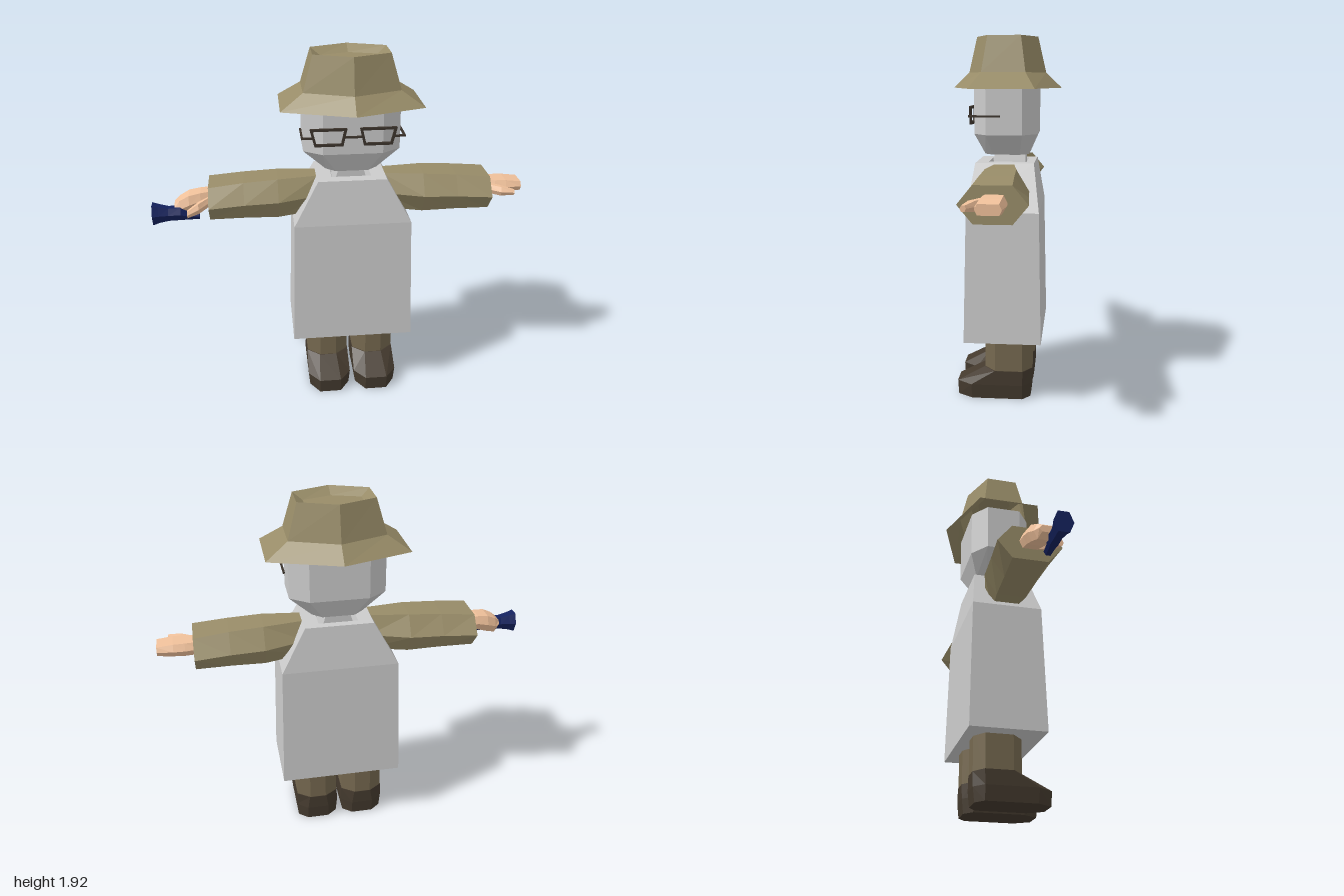
import * as THREE from 'three';

const mat = (color) => new THREE.MeshStandardMaterial({ color, flatShading: true, side: THREE.DoubleSide });
const GREY = mat(0xcccccc), TAN = mat(0x988c68), TROUSER = mat(0x75684f), SHOE = mat(0x443a2e);
const SKIN = mat(0xefc09a), BLUE = mat(0x14225f), WIRE = mat(0x3b332b);

// Skin a list of equal-length rings of [x, y, z]; optional end caps
function loft(name, material, rings, capStart = true, capEnd = true) {
  const pos = [];
  const tri = (a, b, c) => pos.push(...a, ...b, ...c);
  const n = rings[0].length;
  for (let r = 0; r < rings.length - 1; r++) {
    for (let i = 0; i < n; i++) {
      const j = (i + 1) % n, a = rings[r], b = rings[r + 1];
      tri(a[i], a[j], b[j]);
      tri(a[i], b[j], b[i]);
    }
  }
  const cap = (ring, flip) => {
    const c = [0, 1, 2].map((k) => ring.reduce((s, p) => s + p[k], 0) / n);
    ring.forEach((p, i) => {
      const q = ring[(i + 1) % n];
      if (flip) tri(c, q, p); else tri(c, p, q);
    });
  };
  if (capStart) cap(rings[0], true);
  if (capEnd) cap(rings[rings.length - 1], false);
  const geo = new THREE.BufferGeometry();
  geo.setAttribute('position', new THREE.Float32BufferAttribute(pos, 3));
  geo.computeVertexNormals();
  const mesh = new THREE.Mesh(geo, material);
  mesh.name = name;
  return mesh;
}

// Horizontal rings: rectangle, pointed hexagon and bevelled octagon
const rect = (y, w, d, z = 0) => [[w, y, z + d], [w, y, z - d], [-w, y, z - d], [-w, y, z + d]];
const hexagon = (y, w, side, tip) => [[0, y, tip], [w, y, side], [w, y, -side], [0, y, -tip], [-w, y, -side], [-w, y, side]];
const octagon = (y, w, flat, front, sideF, sideB, back) => [
  [flat, y, front], [w, y, sideF], [w, y, sideB], [flat, y, back],
  [-flat, y, back], [-w, y, sideB], [-w, y, sideF], [-flat, y, front]];

// Upright six-sided ring across the x axis
const crossX = (x, cy, cz, hy, hz, k = 0.55) => [
  [x, cy + hy, cz - hz * k], [x, cy + hy, cz + hz * k], [x, cy, cz + hz],
  [x, cy - hy, cz + hz * k], [x, cy - hy, cz - hz * k], [x, cy, cz - hz]];

// Thin square bar between two points
function bar(a, b, t = 0.013) {
  const A = new THREE.Vector3(...a), B = new THREE.Vector3(...b);
  const mesh = new THREE.Mesh(new THREE.BoxGeometry(t, t, A.distanceTo(B) + t * 0.8), WIRE);
  mesh.position.copy(A).lerp(B, 0.5);
  mesh.lookAt(B);
  mesh.name = 'glassesBar';
  return mesh;
}

function makeGlasses() {
  const g = new THREE.Group();
  g.name = 'glasses';
  const z = 0.172;
  for (const s of [1, -1]) {
    const lens = [[0.04, 1.558], [0.216, 1.558], [0.195, 1.477], [0.058, 1.477]].map(([x, y]) => [s * x, y, z]);
    lens.forEach((p, i) => g.add(bar(p, lens[(i + 1) % 4])));
    g.add(bar([s * 0.21, 1.516, z], [s * 0.262, 1.516, z], 0.01));
    g.add(bar([s * 0.262, 1.516, z], [s * 0.262, 1.516, 0.02], 0.01));
  }
  g.add(bar([-0.045, 1.516, z], [0.045, 1.516, z], 0.01));
  return g;
}

function makeArm() {
  return loft('sleeve', TAN, [
    crossX(0.17, 1.165, 0, 0.1, 0.09),
    crossX(0.39, 1.155, 0, 0.108, 0.143),
    crossX(0.57, 1.153, 0, 0.1, 0.152),
    crossX(0.755, 1.145, 0, 0.09, 0.165)]);
}

function makeLeg() {
  const g = new THREE.Group();
  g.name = 'leg';
  g.add(loft('trouserLeg', TROUSER, [
    octagon(0.12, 0.115, 0.045, 0.105, 0.045, -0.1, -0.148),
    octagon(0.4, 0.115, 0.045, 0.105, 0.045, -0.1, -0.148)]));
  // Shoe with a sloped upper and long toe
  g.add(loft('shoe', SHOE, [
    octagon(0, 0.112, 0.06, 0.25, 0.17, -0.1, -0.142),
    octagon(0.078, 0.12, 0.06, 0.255, 0.175, -0.1, -0.15),
    octagon(0.157, 0.118, 0.048, 0.108, 0.047, -0.102, -0.15)]));
  return g;
}

export function createModel() {
  const model = new THREE.Group();
  model.name = 'figure';
  const body = new THREE.Group();
  body.name = 'body';
  body.position.x = 0.055;
  model.add(body);

  // Long coat with a sunken neck opening
  body.add(loft('coat', GREY, [
    rect(0.34, 0.332, 0.202), rect(1.03, 0.313, 0.187), rect(1.27, 0.182, 0.153),
    rect(1.27, 0.105, 0.1, -0.01), rect(1.21, 0.09, 0.09, -0.01)]));
  body.add(loft('neck', GREY, [rect(1.2, 0.095, 0.083, -0.018), rect(1.33, 0.06, 0.083, -0.018)]));

  // Head with tapered jaw
  body.add(loft('head', GREY, [
    octagon(1.31, 0.135, 0.085, 0.11, 0.065, -0.075, -0.12),
    octagon(1.42, 0.253, 0.155, 0.16, 0.09, -0.095, -0.167),
    octagon(1.68, 0.253, 0.155, 0.16, 0.09, -0.095, -0.167)]));
  body.add(makeGlasses());

  // Brimmed hat with a dented crown
  body.add(loft('hat', TAN, [
    hexagon(1.655, 0.368, 0.165, 0.288), hexagon(1.735, 0.25, 0.112, 0.205),
    hexagon(1.92, 0.198, 0.085, 0.162), hexagon(1.885, 0.15, 0.05, 0.1)], false, true));

  // Mirrored sleeves and legs; hands differ
  for (const s of [1, -1]) {
    const side = new THREE.Group();
    side.name = s > 0 ? 'leftSide' : 'rightSide';
    side.scale.x = s;
    const leg = makeLeg();
    leg.position.x = 0.132;
    side.add(makeArm(), leg);
    if (s > 0) {
      // Open hand
      side.add(loft('hand', SKIN, [
        crossX(0.72, 1.158, -0.01, 0.036, 0.055, 0.7), crossX(0.8, 1.156, -0.005, 0.036, 0.068, 0.7),
        crossX(0.86, 1.157, -0.004, 0.034, 0.07, 0.7), crossX(0.945, 1.156, -0.002, 0.025, 0.06, 0.8)]));
      side.add(loft('thumb', SKIN, [
        crossX(0.745, 1.153, 0.035, 0.025, 0.028), crossX(0.82, 1.15, 0.085, 0.025, 0.03),
        crossX(0.888, 1.15, 0.115, 0.014, 0.014)]));
    } else {
      // Curled hand gripping a handle
      side.add(loft('hand', SKIN, [
        crossX(0.72, 1.155, -0.01, 0.036, 0.05, 0.7), crossX(0.8, 1.152, 0.01, 0.04, 0.06, 0.7),
        crossX(0.86, 1.138, 0.02, 0.046, 0.066, 0.7), crossX(0.91, 1.118, 0.03, 0.042, 0.06, 0.7),
        crossX(0.938, 1.12, 0.035, 0.018, 0.045, 0.7)]));
      side.add(loft('thumb', SKIN, [
        crossX(0.75, 1.145, 0.04, 0.025, 0.03), crossX(0.81, 1.125, 0.09, 0.028, 0.03),
        crossX(0.87, 1.1, 0.112, 0.018, 0.018)]));
      // Flared handheld cylinder
      side.add(loft('handheldItem', BLUE, [
        crossX(0.81, 1.075, 0.07, 0.018, 0.022), crossX(0.87, 1.08, 0.07, 0.022, 0.026),
        crossX(0.905, 1.094, 0.07, 0.035, 0.036), crossX(0.97, 1.092, 0.07, 0.035, 0.034),
        crossX(1.02, 1.094, 0.07, 0.045, 0.042), crossX(1.053, 1.094, 0.07, 0.055, 0.05)]));
    }
    body.add(side);
  }
  return model;
}
